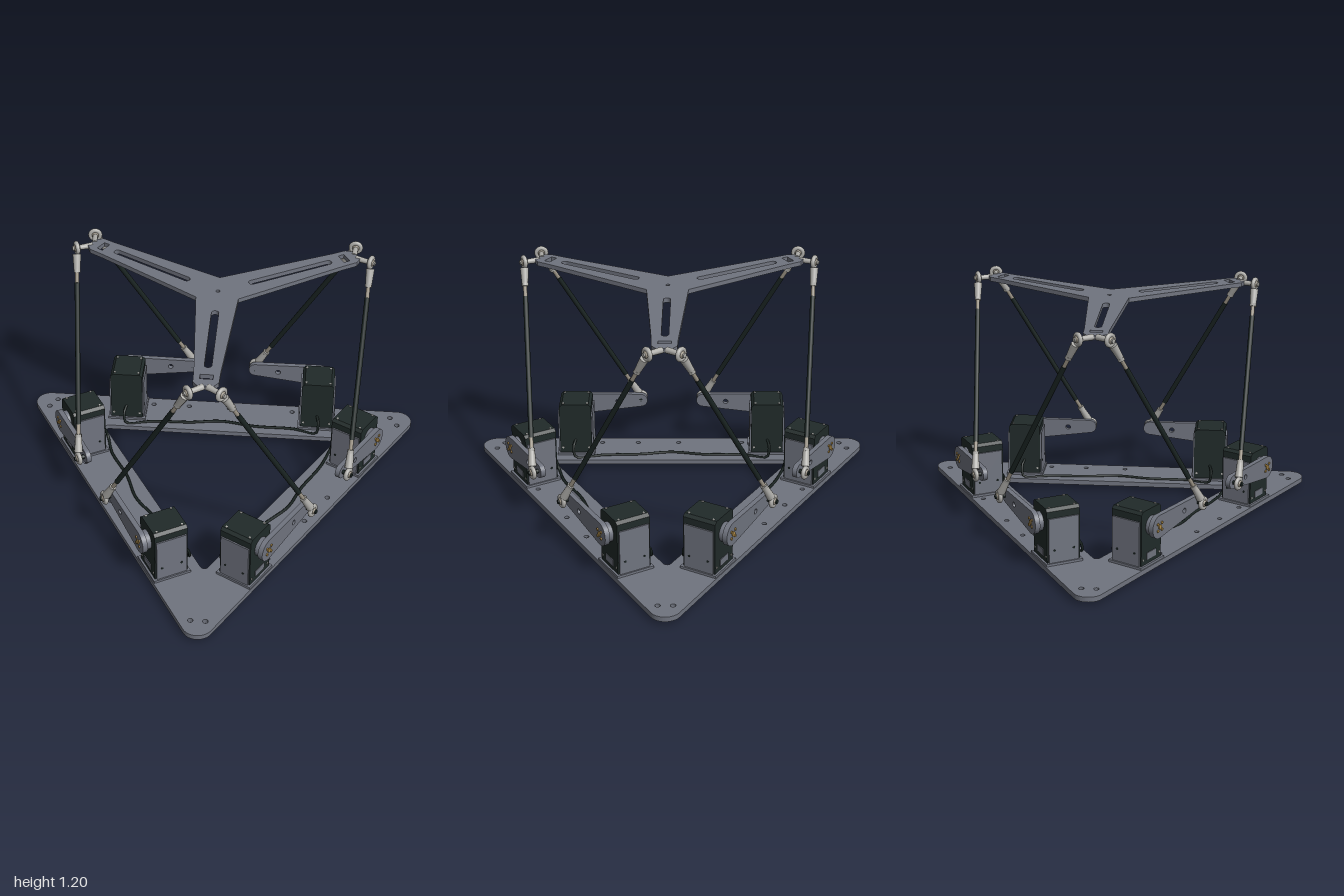
import * as THREE from 'three';

const mat = (name, color) => {
  const m = new THREE.MeshStandardMaterial({ color });
  m.name = name;
  return m;
};
const V = (x, y, z) => new THREE.Vector3(x, y, z);

export function createModel() {
  const gray = mat('anodised gray', 0x70747f);
  const dark = mat('servo black', 0x202a29);
  const carbon = mat('rod black', 0x1a2422);
  const steel = mat('light steel', 0xaeada9);
  const bronze = mat('stud metal', 0x9c9486);
  const gold = mat('brass', 0xb8924a);
  const rubber = mat('rubber', 0x15191a);

  const CZ = 0.217; // centre of the three-fold symmetry
  const root = new THREE.Group();
  root.name = 'hexapodPlatform';
  const hub = new THREE.Group();
  hub.name = 'mechanism';
  hub.position.z = CZ;
  root.add(hub);

  const add = (parent, name, geo, m) => {
    const mesh = new THREE.Mesh(geo, m);
    mesh.name = name;
    parent.add(mesh);
    return mesh;
  };
  const box = (p, name, w, h, d, x, y, z, m) =>
    add(p, name, new THREE.BoxGeometry(w, h, d).translate(x, y, z), m);
  // cylinder between two points
  const rod = (p, name, a, b, r0, r1, m, seg = 14) => {
    const dir = b.clone().sub(a);
    const mesh = add(p, name, new THREE.CylinderGeometry(r1, r0, dir.length(), seg), m);
    mesh.position.copy(a).lerp(b, 0.5);
    mesh.quaternion.setFromUnitVectors(V(0, 1, 0), dir.normalize());
    return mesh;
  };
  const polar = (r, t, a) =>
    new THREE.Vector2(r * Math.cos(a) - t * Math.sin(a), r * Math.sin(a) + t * Math.cos(a));
  const circle = (x, y, r) => new THREE.Path().absarc(x, y, r, 0, Math.PI * 2, true);
  // flat plate cut from a shape drawn in x, z
  const plate = (name, shape, top, thick, m) => {
    const g = new THREE.ExtrudeGeometry(shape, { depth: thick, bevelEnabled: false, curveSegments: 10 });
    return add(hub, name, g.rotateX(Math.PI / 2).translate(0, top, 0), m);
  };
  const corners = [0, 1, 2].map(k => -Math.PI / 2 + k * Math.PI * 2 / 3);
  const roundTriangle = (path, dist, r) => {
    corners.forEach(a => {
      const c = polar(dist, 0, a);
      path.absarc(c.x, c.y, r, a - Math.PI / 3, a + Math.PI / 3, false);
    });
    path.closePath();
    return path;
  };

  // Base: rounded triangle frame with screw holes and rubber feet
  const base = roundTriangle(new THREE.Shape(), 1.068, 0.075);
  base.holes.push(roundTriangle(new THREE.Path(), 0.676, 0.02));
  corners.forEach(a => {
    for (const t of [-0.035, 0.035]) {
      const c = polar(1.047, t, a);
      base.holes.push(circle(c.x, c.y, 0.013));
    }
    for (const t of [-0.37, -0.18, 0.035, 0.37]) {
      const c = polar(0.558, t, a + Math.PI);
      base.holes.push(circle(c.x, c.y, 0.012));
    }
    const f = polar(1.005, 0, a);
    rod(hub, 'foot', V(f.x, 0, f.y), V(f.x, 0.021, f.y), 0.05, 0.05, rubber, 24);
  });
  plate('basePlate', base, 0.045, 0.025, gray);

  // Upper platform: three tapered, slotted arms
  const outline = [];
  const holes = [circle(0, 0, 0.01)];
  const slot = (r0, r1, w, a) =>
    new THREE.Path([[r0, -w], [r0, w], [r1, w], [r1, -w]].map(([r, t]) => polar(r, t, a))).closePath();
  corners.forEach(a => {
    outline.push(polar(0.0575, -0.1, a));
    [[0.64, -0.06], [0.715, -0.058], [0.745, -0.035], [0.745, 0.035], [0.715, 0.058], [0.64, 0.06]]
      .forEach(([r, t]) => outline.push(polar(r, t, a)));
    const c0 = polar(0.18, 0, a), c1 = polar(0.59, 0, a), long = new THREE.Path();
    long.absarc(c0.x, c0.y, 0.017, a + Math.PI / 2, a + Math.PI * 1.5, false);
    long.absarc(c1.x, c1.y, 0.017, a - Math.PI / 2, a + Math.PI / 2, false);
    long.closePath();
    holes.push(long, slot(0.66, 0.692, 0.03, a));
  });
  const platform = new THREE.Shape(outline);
  platform.holes.push(...holes);
  plate('upperPlatform', platform, 1.172, 0.022, gray);

  // Rod end: ring, ball, housing and threaded stud; returns where the rod starts
  const rodEnd = (p, at, toward, axis) => {
    const dir = toward.clone().sub(at).normalize();
    const on = d => at.clone().addScaledVector(dir, d);
    const ring = add(p, 'rodEndRing', new THREE.TorusGeometry(0.024, 0.011, 10, 22), steel);
    ring.position.copy(at);
    ring.quaternion.setFromUnitVectors(V(0, 0, 1), axis);
    add(p, 'rodEndBall', new THREE.SphereGeometry(0.019, 16, 12), bronze).position.copy(at);
    rod(p, 'rodEndHousing', on(0.03), on(0.105), 0.021, 0.016, steel);
    rod(p, 'rodEndNut', on(0.105), on(0.12), 0.018, 0.018, steel, 6);
    rod(p, 'rodEndStud', on(0.115), on(0.18), 0.01, 0.01, bronze, 10);
    return on(0.17);
  };

  // One servo with horn and push rod; s = 1 or -1 picks the mirrored side
  const buildLeg = (sector, s) => {
    const leg = new THREE.Group();
    leg.name = s > 0 ? 'leftLeg' : 'rightLeg';
    sector.add(leg);
    const X = s * 0.5, zc = 0.727 - CZ;

    // Servo body with chamfered top, in a gray bracket
    const w = 0.083, h = 0.33, c = 0.014;
    const profile = new THREE.Shape([[-w, 0.05], [w, 0.05], [w, h - c], [w - c, h], [c - w, h], [-w, h - c]]
      .map(([x, y]) => new THREE.Vector2(x, y)));
    add(leg, 'servoBody', new THREE.ExtrudeGeometry(profile, { depth: 0.17, bevelEnabled: false })
      .translate(X, 0, zc - 0.085), dark);
    box(leg, 'bracketFoot', 0.195, 0.012, 0.19, X, 0.051, zc, gray);
    for (const e of [-1, 1]) {
      box(leg, 'bracketSide', 0.008, 0.23, 0.155, X + e * 0.0865, 0.167, zc, gray);
      for (const f of [-1, 1]) {
        rod(leg, 'topScrew', V(X + e * 0.062, 0.328, zc + f * 0.065), V(X + e * 0.062, 0.333, zc + f * 0.065), 0.006, 0.006, steel, 8);
        rod(leg, 'faceScrew', V(X + e * 0.068, 0.085, zc + f * 0.083), V(X + e * 0.068, 0.085, zc + f * 0.088), 0.006, 0.006, steel, 8);
        rod(leg, 'sideScrew', V(X + e * 0.088, 0.12, zc + f * 0.05), V(X + e * 0.0925, 0.12, zc + f * 0.05), 0.006, 0.006, carbon, 8);
      }
    }
    box(leg, 'servoLabel', 0.075, 0.035, 0.004, X, 0.095, zc + 0.086, gray);

    // Horn: tapered lever on the output disc
    const z0 = 0.835 - CZ, tipX = s * 0.165, hy = 0.245, ty = 0.265;
    rod(leg, 'outputDisc', V(X, hy, zc + 0.08), V(X, hy, z0), 0.048, 0.048, gray, 24);
    const r0 = 0.058, r1 = 0.035;
    const a = Math.atan2(ty - hy, tipX - X), b = Math.acos((r0 - r1) / Math.hypot(tipX - X, ty - hy));
    const horn = new THREE.Shape();
    horn.absarc(X, hy, r0, a + b, a - b + Math.PI * 2, false);
    horn.absarc(tipX, ty, r1, a - b, a + b, false);
    horn.closePath();
    horn.holes.push(circle(s * 0.285, 0.258, 0.013));
    add(leg, 'servoHorn', new THREE.ExtrudeGeometry(horn, { depth: 0.025, bevelEnabled: false, curveSegments: 16 })
      .translate(0, 0, z0), gray);
    for (let i = 0; i < 5; i++) {
      const q = i * Math.PI / 2 + Math.PI / 4, d = i < 4 ? 0.024 : 0;
      const x = X + d * Math.cos(q), y = hy + d * Math.sin(q);
      rod(leg, 'hornScrew', V(x, y, z0 + 0.02), V(x, y, z0 + 0.03), i < 4 ? 0.007 : 0.012, i < 4 ? 0.007 : 0.012, gold, 10);
    }

    // Push rod between horn tip and platform joint
    const low = V(tipX, ty, 0.89 - CZ), high = V(s * 0.642, 1.162, 0.456);
    const root0 = V(s * 0.633, 1.162, 0.378);
    const axis = high.clone().sub(root0).normalize();
    rod(leg, 'hornBolt', V(tipX, ty, z0), V(tipX, ty, 0.912 - CZ), 0.011, 0.011, carbon, 8);
    rod(leg, 'platformStud', root0, high.clone().addScaledVector(axis, 0.022), 0.015, 0.011, steel, 12);
    const p0 = rodEnd(leg, low, high, V(0, 0, 1));
    const p1 = rodEnd(leg, high, low, axis);
    rod(leg, 'pushRod', p0, p1, 0.0125, 0.0125, carbon, 12);
  };

  // Three identical sides, each with two mirrored legs and a cable
  for (let k = 0; k < 3; k++) {
    const sector = new THREE.Group();
    sector.name = 'side' + (k + 1);
    sector.rotation.y = k * Math.PI * 2 / 3;
    hub.add(sector);
    buildLeg(sector, 1);
    buildLeg(sector, -1);
    const path = [[-0.5, 0.13, 0.65], [-0.51, 0.11, 0.61], [-0.5, 0.053, 0.595], [-0.38, 0.05, 0.625], [-0.18, 0.05, 0.628],
      [0, 0.05, 0.655], [0.16, 0.05, 0.632], [0.36, 0.05, 0.622], [0.5, 0.053, 0.595], [0.51, 0.11, 0.61], [0.5, 0.13, 0.65]];
    const curve = new THREE.CatmullRomCurve3(path.map(([x, y, z]) => V(x, y, z - CZ)));
    add(sector, 'servoCable', new THREE.TubeGeometry(curve, 60, 0.007, 6), carbon);
  }
  return root;
}
